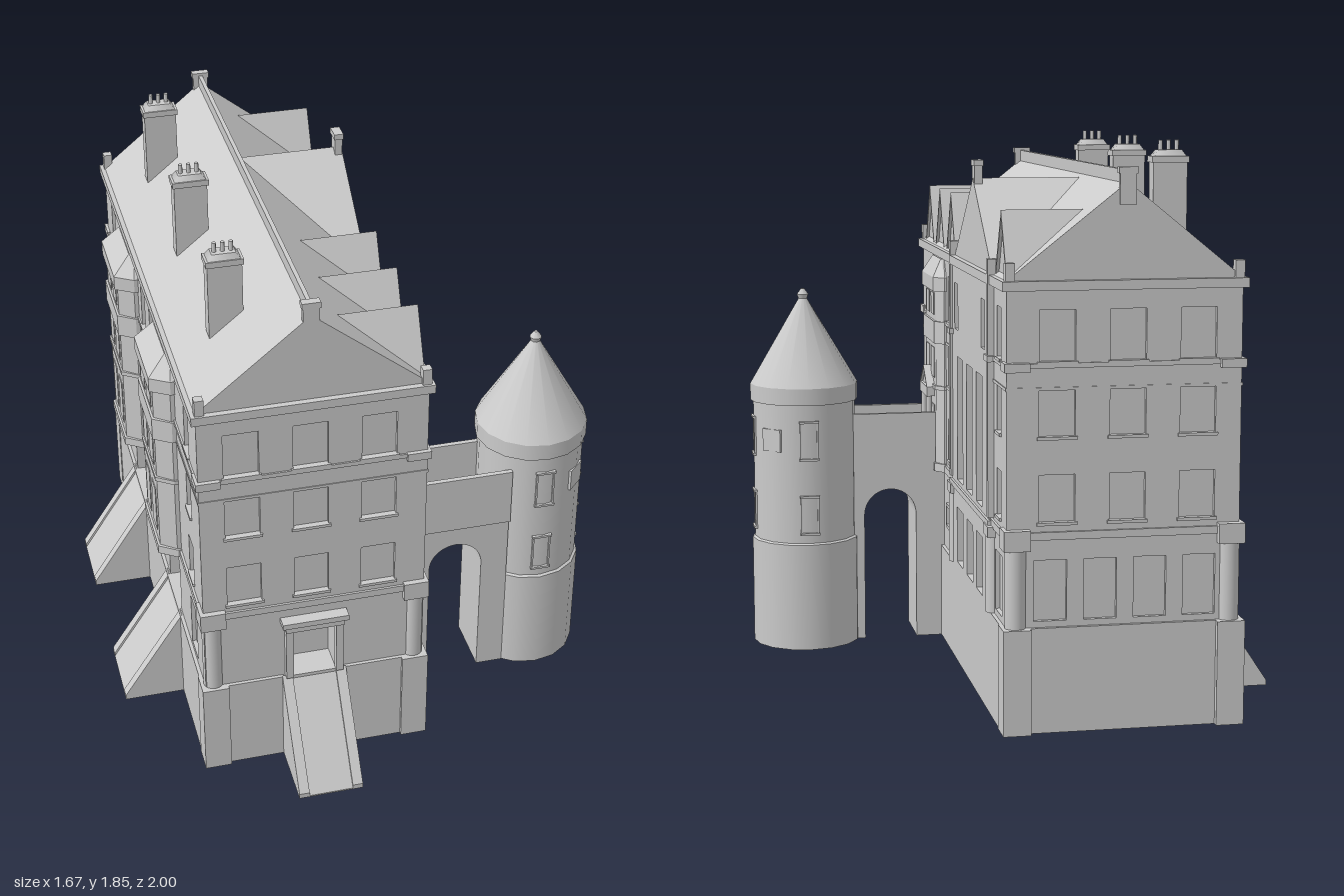
import * as THREE from 'three';

// walls are open shells, so both sides show
const mat = new THREE.MeshStandardMaterial({ color: 0xcccccc, side: THREE.DoubleSide });

function add(parent, name, geo, x = 0, y = 0, z = 0) {
  const m = new THREE.Mesh(geo, mat);
  m.name = name;
  m.position.set(x, y, z);
  parent.add(m);
  return m;
}

// box from a base height to a top height
const block = (p, name, x, z, w, d, y0, y1) =>
  add(p, name, new THREE.BoxGeometry(w, y1 - y0, d), x, (y0 + y1) / 2, z);

const drum = (p, name, x, z, r, y0, y1, rTop = r, seg = 16, open = false) =>
  add(p, name, new THREE.CylinderGeometry(rTop, r, y1 - y0, seg, 1, open), x, (y0 + y1) / 2, z);

const poly = pts => new THREE.Shape(pts.map(p => new THREE.Vector2(...p)));
const rect = (u0, u1, y0, y1) => [[u0, y0], [u1, y0], [u1, y1], [u0, y1]];
const extrude = (shape, depth) =>
  new THREE.ExtrudeGeometry(shape, { depth, bevelEnabled: false, curveSegments: 10 });

// remove the faces of an extrusion that point along one direction
function drop(g, dir) {
  const n = g.attributes.normal, keep = [];
  const v = new THREE.Vector3();
  for (let i = 0; i < n.count; i += 3)
    if (v.fromBufferAttribute(n, i).dot(dir) < 0.95) keep.push(i, i + 1, i + 2);
  g.clearGroups();
  g.setIndex(keep);
  return g;
}
const INWARD = new THREE.Vector3(0, 0, -1), OUTWARD = new THREE.Vector3(0, 0, 1);
const DOWN = new THREE.Vector3(0, -1, 0);

// opening: [centre, bottom, top, width, arched]
function hole([c, y0, y1, w, arched]) {
  if (!arched) return poly(rect(c - w / 2, c + w / 2, y0, y1));
  const s = new THREE.Shape(), r = w / 2;
  s.moveTo(c - r, y0);
  s.lineTo(c + r, y0);
  s.lineTo(c + r, y1 - r);
  s.absarc(c, y1 - r, r, 0, Math.PI, false);
  s.closePath();
  return s;
}

function pierced(u0, u1, y0, y1, holes) {
  const s = poly(rect(u0, u1, y0, y1));
  s.holes = holes.map(hole);
  return s;
}

// facade layer facing local +z, its face at distance d
const panel = (p, name, u0, u1, y0, y1, d, t, holes = []) =>
  add(p, name, drop(extrude(pierced(u0, u1, y0, y1, holes), t), INWARD), 0, 0, d - t);

// prism standing on a [u, outward] outline, optionally tapered at the top
function prism(p, name, pts, y0, y1, taperU = 1, taperOut = 1) {
  const g = extrude(poly(pts.map(([u, o]) => [u, -o])), y1 - y0).rotateX(-Math.PI / 2);
  const a = g.attributes.position;
  for (let i = 0; i < a.count; i++)
    if (a.getY(i) > 0.001) a.setXYZ(i, a.getX(i) * taperU, a.getY(i), a.getZ(i) * taperOut);
  g.computeVertexNormals();
  return add(p, name, g, 0, y0, 0);
}

// bay window with three faces, bands and a sloping cap
function oriel(side, u, d, depth) {
  const g = new THREE.Group();
  g.name = 'bayWindow';
  g.position.set(u, 0, d);
  side.add(g);
  const plan = e => [[-0.165 - e, -0.005], [-0.165 - e, 0.2 * depth], [-0.125 - e, depth + e],
    [0.125 + e, depth + e], [0.165 + e, 0.2 * depth], [0.165 + e, -0.005]];
  prism(g, 'bayBody', plan(-0.004), 0.63, 1.29);
  for (const [a, b, e] of [[0.62, 0.65, 0.004], [0.92, 0.935, 0.002], [1.09, 1.17, 0.004], [1.28, 1.33, 0.008]])
    prism(g, 'bayBand', plan(e), a, b);
  prism(g, 'bayRoof', plan(0.008), 1.33, 1.393, 0.72, 0.2);
  for (const [a, b] of [[0.69, 0.86], [0.96, 1.07], [1.19, 1.27]])
    for (const x of [-0.055, 0.055]) block(g, 'bayPane', x, depth - 0.004, 0.07, 0.006, a, b);
}

// sloping ramp between two stringers
function ramp(side, u, w, d, out) {
  const part = (name, c, width, lift) => {
    const g = extrude(poly([[d, 0], [out, 0], [out, lift], [d, 0.325 + lift]]), width);
    add(side, name, drop(g.rotateY(-Math.PI / 2), DOWN), c + width / 2, 0, 0);
  };
  part('ramp', u, w - 0.07, 0.005);
  for (const s of [-1, 1]) part('rampStringer', u + s * (w / 2 - 0.0175), 0.035, 0.018);
}

// triangular gable running back into the roof
function gable(side, name, u, half, top, d, depth, coping = true, base = 1.43) {
  const tri = k => poly([[u - half * k, base], [u + half * k, base], [u, base + (top - base) * k]]);
  add(side, name, drop(drop(extrude(tri(1), depth), INWARD), DOWN), 0, 0, d - depth);
  if (!coping) return;
  const s = tri(1);
  s.holes = [tri(0.88)];
  add(side, name + 'Coping', extrude(s, 0.01), 0, 0, d);
}

export function createModel() {
  const root = new THREE.Group();
  root.name = 'towerHouse';
  const rows = [[1.18, 1.34], [0.945, 1.09], [0.675, 0.825]];
  const grid = (cols, w, r = rows) => cols.flatMap(c => r.map(([a, b]) => [c, a, b, w]));
  const low = (cols, w) => cols.map(c => [c, 0.36, 0.555, w]);

  // four facades: rotation, extent, distance, windows, doors
  const wing = [...grid([0.09, 0.615], 0.065, [rows[0]]),
    ...[0.165, 0.355, 0.545].map(c => [c, 0.655, 1.088, 0.11]), ...low([0.16, 0.36, 0.55], 0.12)];
  const specs = {
    front: [0, -0.62, 0.13, 0.755, grid([-0.48, -0.255, -0.03], 0.115), [[-0.25, 0.34, 0.54, 0.15]]],
    right: [Math.PI / 2, -0.755, 0.965, 0.13, [...grid([-0.625, -0.13, 0.84], 0.065), ...wing,
      ...low([0.835], 0.11), [-0.6, 0.435, 0.505, 0.09], [-0.13, 0.435, 0.505, 0.07]], []],
    back: [Math.PI, -0.13, 0.62, 0.965, [...grid([0.03, 0.255, 0.48], 0.115),
      ...low([0.01, 0.17, 0.33, 0.49], 0.105)], []],
    left: [-Math.PI / 2, -0.965, 0.755, 0.62, [...grid([-0.8, -0.19, -0.03, 0.58], 0.07),
      ...low([-0.8, 0.58], 0.1)], [-0.45, 0.225].map(c => [c, 0.34, 0.6, 0.21, true])],
  };
  const sides = {};
  for (const [key, [rot, u0, u1, d, windows, doors]] of Object.entries(specs)) {
    const g = sides[key] = new THREE.Group();
    g.name = key + 'Facade';
    g.rotation.y = rot;
    root.add(g);
    panel(g, 'wall', u0, u1, 0.3, 1.43, d, 0.015, [...windows, ...doors]);
    add(g, 'windowPanes', new THREE.ShapeGeometry(pierced(u0, u1, 0.32, 1.42, doors)), 0, 0, d - 0.014);
    for (const o of doors)
      add(g, 'doorNiche', drop(extrude(hole(o), 0.08), OUTWARD), 0, 0, d - 0.094);
    panel(g, 'plinth', u0 - 0.01, u1 + 0.01, 0, 0.34, d + 0.012, 0.015);
    for (const [a, b, o] of [[0.62, 0.645, 0.008], [1.09, 1.1, 0.003], [1.16, 1.175, 0.006], [1.4, 1.43, 0.016]])
      panel(g, 'stringCourse', u0 - o, u1 + o, a, b, d + o, o + 0.005);
    for (const [c, a, , w] of windows)
      if (a > 0.66) block(g, 'windowSill', c, d + 0.002, w + 0.014, 0.01, a - 0.01, a);
  }
  const { front, right, left } = sides;

  // projecting wing on the right side
  panel(right, 'wingWall', 0, 0.73, 0.34, 1.4, 0.142, 0.015, wing);
  for (const [a, b] of [[0.62, 0.64], [1.4, 1.43]])
    panel(right, 'wingBand', -0.015, 0.745, a, b, 0.15, 0.025);
  for (const u of [-0.005, 0.735]) {
    block(right, 'wingPilaster', u, 0.135, 0.03, 0.03, 0.65, 1.4);
    block(right, 'wingPilasterCap', u, 0.135, 0.06, 0.04, 1.155, 1.175);
    block(right, 'wingPinnacle', u, 0.135, 0.028, 0.03, 1.4, 1.48);
    drum(right, 'wingColumn', u, 0.125, 0.03, 0.34, 0.6);
    block(right, 'wingColumnCap', u, 0.125, 0.08, 0.06, 0.59, 0.625);
  }
  gable(right, 'wingGable', 0.36, 0.365, 1.715, 0.13, 0.36, false);
  block(right, 'wingFinial', 0.36, 0.115, 0.05, 0.026, 1.66, 1.755);
  block(right, 'wingFinialCap', 0.36, 0.115, 0.06, 0.032, 1.755, 1.775);
  for (const u of [-0.62, -0.38, -0.13, 0.84]) gable(right, 'dormer', u, 0.1, 1.64, 0.115, 0.27);
  for (const [u, w] of [[-0.6, 0.09], [-0.13, 0.07]]) {
    for (const [a, b] of [[0.425, 0.437], [0.503, 0.515]])
      block(right, 'smallWindowTrim', u, 0.132, w + 0.025, 0.012, a, b);
    for (const s of [-1, 1])
      block(right, 'smallWindowJamb', u + s * (w / 2 + 0.006), 0.132, 0.012, 0.012, 0.425, 0.515);
  }

  // corners of the house
  for (const sx of [0, 1]) for (const sz of [0, 1]) {
    const x = sx ? 0.1 : -0.59, z = sz ? 0.735 : -0.953;
    block(root, 'cornerPlinth', x, z, 0.09, 0.09, 0, 0.34);
    drum(root, 'cornerColumn', x, z, 0.034, 0.34, 0.6);
    block(root, 'cornerCapital', x, z, 0.085, 0.08, 0.59, 0.655);
    block(root, 'cornerBlock', x, z, 0.08, 0.07, 1.15, 1.178);
    block(root, 'cornerPinnacle', sx ? 0.12 : -0.608, sz ? 0.748 : -0.957, 0.03, 0.03, 1.4, 1.485);
  }

  // main roof with ridge wall and finials
  const roof = drop(extrude(poly([[-0.62, 1.43], [0.13, 1.43], [-0.25, 1.73]]), 1.71), DOWN);
  add(root, 'mainRoof', roof, 0, 0, -0.96);
  block(root, 'ridgeWall', -0.25, -0.105, 0.014, 1.7, 1.7, 1.765);
  for (const z of [0.74, -0.955]) {
    block(root, 'ridgeFinial', -0.25, z, 0.052, 0.022, 1.66, 1.76);
    block(root, 'ridgeFinialCap', -0.25, z, 0.06, 0.028, 1.755, 1.775);
  }

  // chimneys
  for (const z of [-0.655, -0.105, 0.44]) {
    block(root, 'chimney', -0.457, z, 0.112, 0.055, 1.52, 1.78);
    block(root, 'chimneyCap', -0.457, z, 0.122, 0.068, 1.775, 1.795);
    const cap = drum(root, 'chimneyTop', -0.457, z, 0.075, 1.795, 1.815, 0.055, 4);
    cap.geometry.rotateY(Math.PI / 4);
    cap.scale.z = 0.55;
    for (const dx of [-0.027, 0, 0.027]) drum(root, 'chimneyPot', -0.457 + dx, z, 0.007, 1.81, 1.846, 0.007, 8);
  }

  // bay windows and entrance ramps
  for (const u of [-0.45, 0.225]) {
    oriel(left, u, 0.62, 0.07);
    ramp(left, u, 0.275, 0.625, 0.84);
  }
  oriel(right, -0.37, 0.13, 0.035);
  ramp(front, -0.25, 0.22, 0.765, 1.0);

  // front door surround
  for (const s of [-1, 1]) block(front, 'doorJamb', -0.25 + s * 0.086, 0.765, 0.025, 0.03, 0.34, 0.545);
  block(front, 'doorLintel', -0.25, 0.77, 0.2, 0.035, 0.54, 0.565);
  block(front, 'doorCornice', -0.25, 0.775, 0.225, 0.045, 0.565, 0.585);

  // bridge with arch, parapets and portal
  const span = new THREE.Shape();
  span.moveTo(0.13, 0);
  span.lineTo(0.235, 0);
  span.lineTo(0.235, 0.46);
  span.absellipse(0.33, 0.46, 0.095, 0.095, Math.PI, 0, true);
  span.lineTo(0.425, 0);
  span.lineTo(0.52, 0);
  span.lineTo(0.52, 0.65);
  span.lineTo(0.13, 0.65);
  add(root, 'bridgeArch', drop(extrude(span, 0.215), DOWN), 0, 0, 0.263);
  for (const z of [0.268, 0.476]) block(root, 'bridgeParapet', 0.343, z, 0.36, 0.018, 0.625, 0.835);
  for (const u of [-0.43, -0.31]) drum(right, 'portalColumn', u, 0.178, 0.011, 0.65, 0.89, 0.011, 10);
  block(right, 'portalDoor', -0.37, 0.166, 0.085, 0.008, 0.65, 0.86);
  block(right, 'portalLintel', -0.37, 0.175, 0.17, 0.03, 0.89, 0.925);
  gable(right, 'portalPediment', -0.37, 0.085, 0.995, 0.18, 0.02, true, 0.925);

  // round tower
  const tower = new THREE.Group();
  tower.name = 'roundTower';
  tower.position.set(0.635, 0, 0.325);
  root.add(tower);
  drum(tower, 'towerBase', 0, 0, 0.193, 0, 0.385, 0.193, 16, true);
  drum(tower, 'towerBaseLip', 0, 0, 0.193, 0.385, 0.39, 0.184, 16, true);
  drum(tower, 'towerBody', 0, 0, 0.184, 0.385, 0.9, 0.184, 16, true);
  drum(tower, 'towerBand', 0, 0, 0.194, 0.89, 0.95, 0.194, 16);
  drum(tower, 'towerRoof', 0, 0, 0.194, 0.95, 1.26, 0.012, 16, true);
  drum(tower, 'towerFinial', 0, 0, 0.014, 1.25, 1.27, 0.021, 8);
  drum(tower, 'towerFinialTip', 0, 0, 0.021, 1.27, 1.29, 0.006, 8);
  for (const a of [0, Math.PI / 2, Math.PI]) {
    const g = new THREE.Group();
    g.name = 'towerWindows';
    g.rotation.y = a;
    tower.add(g);
    for (const y of [0.42, 0.69]) {
      for (const h of [0, 0.135]) block(g, 'towerWindowTrim', 0, 0.182, 0.07, 0.016, y + h, y + h + 0.008);
      for (const s of [-1, 1]) block(g, 'towerWindowJamb', s * 0.03, 0.179, 0.006, 0.01, y, y + 0.14);
    }
  }
  // square plaques between the windows
  for (const a of [Math.PI / 4, Math.PI * 0.75]) {
    const plaque = block(tower, 'towerPlaque', Math.sin(a) * 0.18, Math.cos(a) * 0.18, 0.08, 0.01, 0.72, 0.8);
    plaque.rotation.y = a;
  }
  return root;
}
